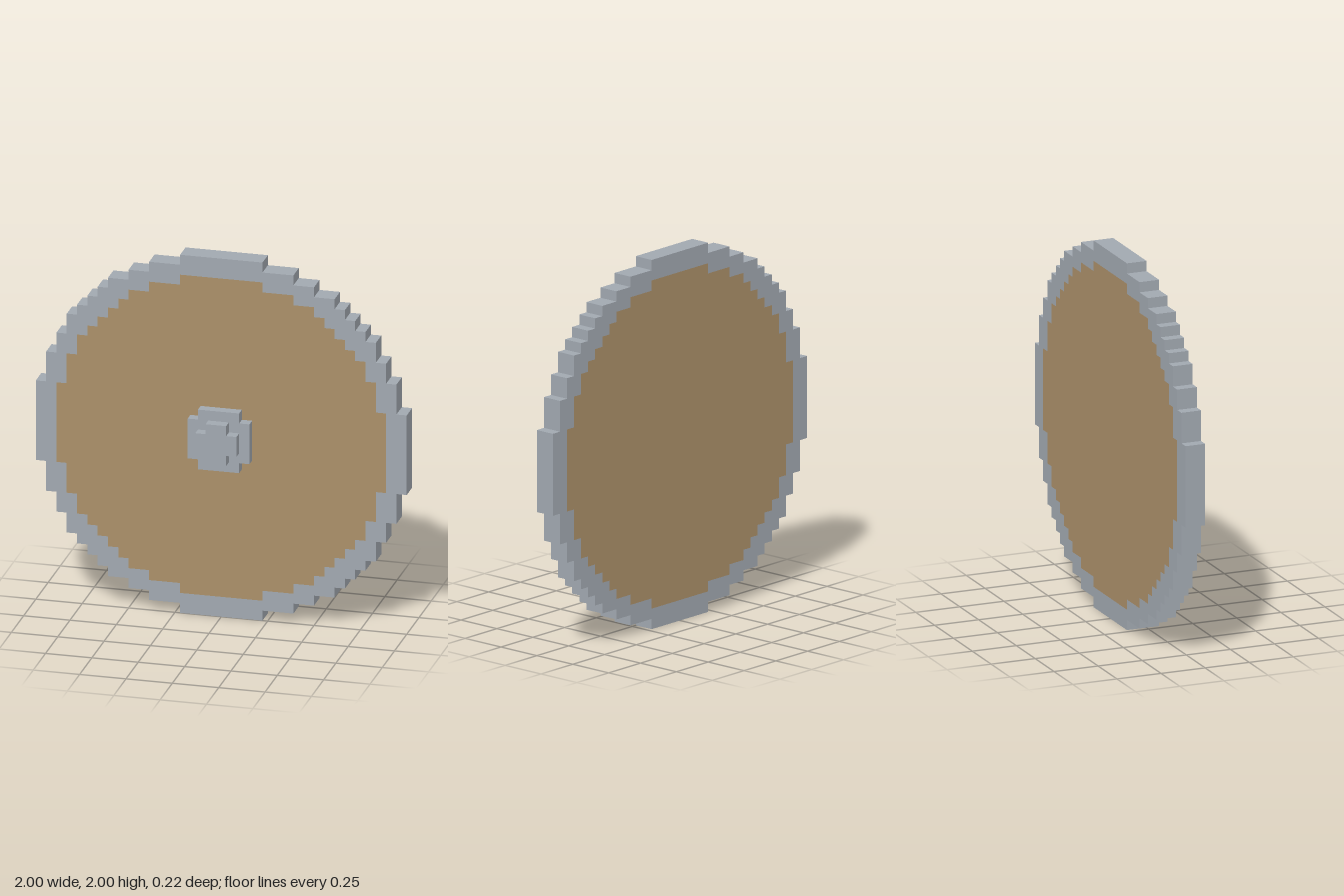
import * as THREE from 'three';

const U = 1 / 18; // size of one block

// Closed stepped outline, mirrored from one quadrant of [halfWidth, height] steps (top to side)
function outline(steps) {
  const quarter = [];
  steps.forEach(([x, y], i) => {
    quarter.push([x, y]);
    if (i < steps.length - 1) quarter.push([x, steps[i + 1][1]]);
  });
  const back = [...quarter].reverse();
  const mirror = (pts, sx, sy) => pts.map(([x, y]) => [x * sx, y * sy]);
  return [
    ...quarter,
    ...mirror(back, 1, -1),
    ...mirror(quarter, -1, -1),
    ...mirror(back, -1, 1),
  ].map(([x, y]) => new THREE.Vector2(x * U, y * U));
}

// Stepped slab from z0 to z1 (in blocks), with an optional stepped opening
function slab(name, material, steps, z0, z1, holeSteps) {
  const shape = new THREE.Shape(outline(steps));
  if (holeSteps) shape.holes.push(new THREE.Path(outline(holeSteps)));
  const geometry = new THREE.ExtrudeGeometry(shape, { depth: (z1 - z0) * U, bevelEnabled: false });
  geometry.translate(0, 1, z0 * U);
  const mesh = new THREE.Mesh(geometry, material);
  mesh.name = name;
  return mesh;
}

export function createModel() {
  const metal = new THREE.MeshStandardMaterial({ color: 0xa1a8b0 });
  metal.name = 'grey metal';
  const wood = new THREE.MeshStandardMaterial({ color: 0xab9069 });
  wood.name = 'brown wood';

  const rimSteps = [[4, 18], [7, 17], [9, 16], [11, 15], [12, 14], [13, 13],
    [14, 12], [15, 11], [16, 9], [17, 7], [18, 4]];
  const boardSteps = [[4, 16], [7, 15], [9, 14], [10, 13], [11, 12],
    [12, 11], [13, 10], [14, 9], [15, 7], [16, 4]];

  const shield = new THREE.Group();
  shield.name = 'roundShield';
  shield.add(
    // Metal rim around a flush wooden board
    slab('rim', metal, rimSteps, -2, 0, boardSteps),
    slab('board', wood, boardSteps, -2, 0),
    // Two-tier central boss
    slab('bossBase', metal, [[2, 3], [3, 2]], 0, 1),
    slab('bossTip', metal, [[1, 2], [2, 1]], 1, 2),
  );
  return shield;
}
